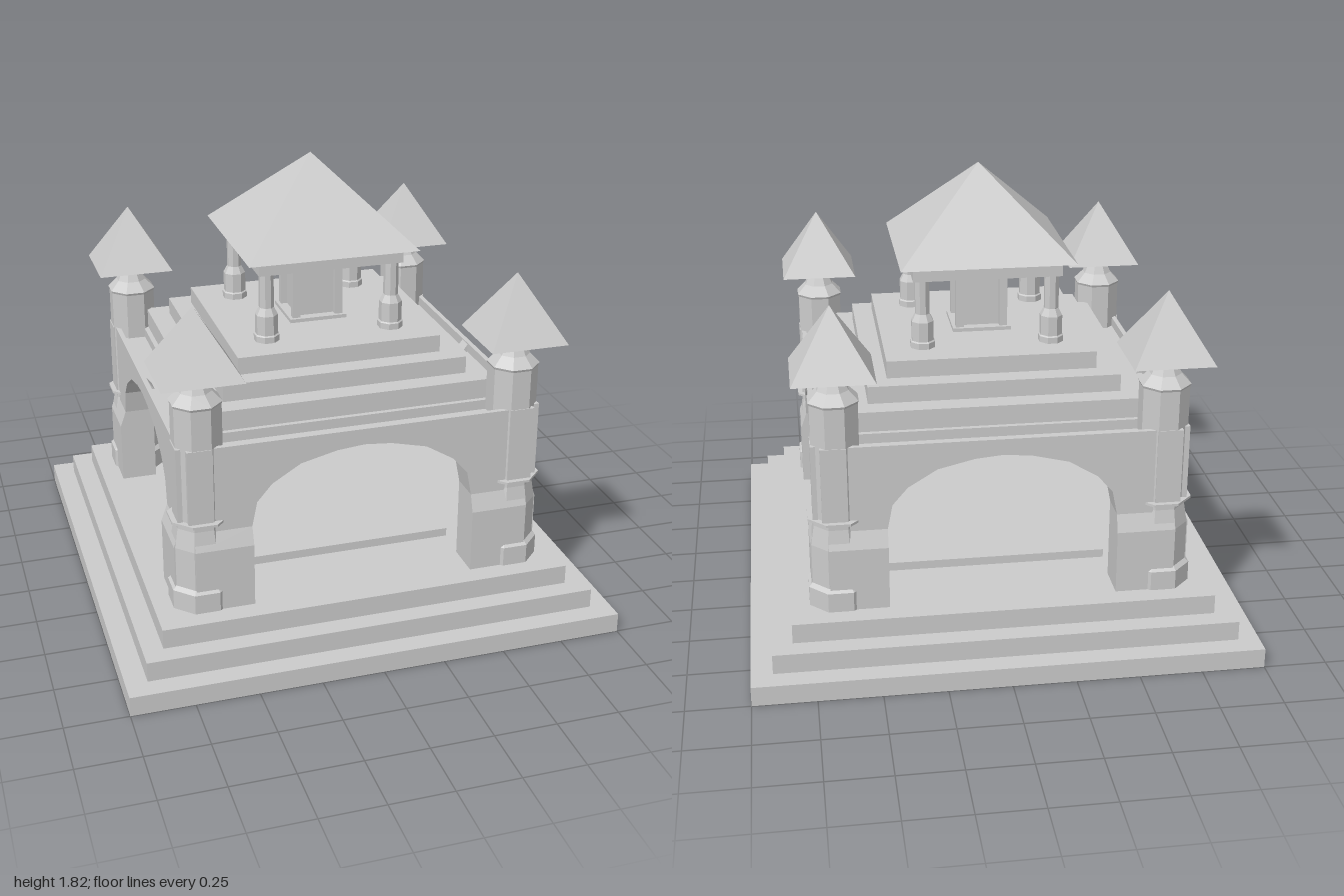
import * as THREE from 'three';

const mat = new THREE.MeshStandardMaterial({ color: 0xcccccc, flatShading: true });

function add(parent, name, geo, x = 0, y = 0, z = 0) {
  const m = new THREE.Mesh(geo, mat);
  m.name = name;
  m.position.set(x, y, z);
  parent.add(m);
  return m;
}

// Square slab given by half width, bottom and top
function slab(parent, name, half, y0, y1, x = 0, z = 0) {
  return add(parent, name, new THREE.BoxGeometry(half * 2, y1 - y0, half * 2), x, (y0 + y1) / 2, z);
}

// Square pyramid roof
function pyramid(parent, name, half, y0, y1, x = 0, z = 0) {
  const g = new THREE.ConeGeometry(half * Math.SQRT2, y1 - y0, 4);
  g.rotateY(Math.PI / 4);
  return add(parent, name, g, x, (y0 + y1) / 2, z);
}

// Octagonal turned column; the profile lists [half width, height]
function octagon(parent, name, profile, x, z) {
  const k = 1 / Math.cos(Math.PI / 8);
  const pts = profile.map(([r, y]) => new THREE.Vector2(r * k, y));
  const g = new THREE.LatheGeometry(pts, 8);
  g.rotateY(Math.PI / 8);
  return add(parent, name, g, x, 0, z);
}

// Wall outline with the arch opening, legs running to the floor
function archShape(top) {
  const half = [[0.45, 0.24], [0.45, 0.57], [0.43, 0.67], [0.37, 0.74], [0.255, 0.81], [0.11, 0.845]];
  const s = new THREE.Shape();
  s.moveTo(-0.68, 0.24);
  half.forEach(([x, y]) => s.lineTo(-x, y));
  s.lineTo(0, 0.855);
  half.slice().reverse().forEach(([x, y]) => s.lineTo(x, y));
  s.lineTo(0.68, 0.24);
  s.lineTo(0.68, top);
  s.lineTo(-0.68, top);
  s.closePath();
  return s;
}

const extrude = (shape, depth) => new THREE.ExtrudeGeometry(shape, { depth, bevelEnabled: false });

// One side of the gatehouse, built facing +z
function archSide() {
  const side = new THREE.Group();
  side.name = 'archSide';
  add(side, 'archWall', extrude(archShape(0.88), 0.105), 0, 0, 0.6);
  add(side, 'parapetFace', extrude(archShape(0.92), 0.02), 0, 0, 0.705);

  // Sloped bracket behind the parapet
  const wedge = new THREE.Shape([[0.705, 0.87], [0.67, 0.87], [0.705, 0.915]].map(p => new THREE.Vector2(...p)));
  const bracket = extrude(wedge, 0.06);
  bracket.rotateY(-Math.PI / 2);
  add(side, 'parapetBracket', bracket, 0.03);

  // Thickened lower legs with a sloped shoulder
  const leg = new THREE.Shape(
    [[0.7, 0.24], [0.75, 0.24], [0.75, 0.5], [0.725, 0.57], [0.7, 0.57]].map(p => new THREE.Vector2(...p)));
  for (const s of [-1, 1]) {
    const g = extrude(leg, 0.23);
    g.translate(0, 0, -0.115);
    g.rotateY(-Math.PI / 2);
    // the shape's first axis now points to +z
    add(side, 'legFacing', g, s * 0.565);
    add(side, 'legPilaster', new THREE.BoxGeometry(0.1, 0.31, 0.02), s * 0.65, 0.765, 0.725);
  }
  return side;
}

// Octagonal tower with a flared cap and a pointed roof
function cornerTower(x, z) {
  const t = new THREE.Group();
  t.name = 'cornerTower';
  octagon(t, 'towerShaft', [
    [0, 0.24], [0.12, 0.24], [0.12, 0.32], [0.105, 0.335], [0.105, 0.5], [0.092, 0.58],
    [0.092, 1.08], [0.096, 1.09], [0.06, 1.13], [0.042, 1.17], [0.032, 1.18], [0.032, 1.2]], x, z);
  octagon(t, 'towerCollar', [[0.09, 0.605], [0.115, 0.605], [0.115, 0.615], [0.09, 0.615]], x, z);
  pyramid(t, 'towerRoof', 0.158, 1.2, 1.46, x, z);
  return t;
}

export function createModel() {
  const model = new THREE.Group();
  model.name = 'pavilionGate';

  // Stepped base and inner floor
  slab(model, 'lowerStep', 1, 0, 0.08);
  slab(model, 'middleStep', 0.915, 0.08, 0.16);
  slab(model, 'upperStep', 0.835, 0.16, 0.24);
  slab(model, 'innerFloor', 0.46, 0.24, 0.275);

  // Four arched sides and corner towers
  for (let i = 0; i < 4; i++) {
    const side = archSide();
    side.rotation.y = i * Math.PI / 2;
    model.add(side);
  }
  const corners = [[1, 1], [-1, 1], [-1, -1], [1, -1]];
  corners.forEach(([sx, sz]) => model.add(cornerTower(sx * 0.64, sz * 0.64)));

  // Stepped deck
  slab(model, 'ceiling', 0.605, 0.865, 0.92);
  slab(model, 'lowerDeck', 0.585, 0.92, 1.0);
  slab(model, 'middleDeck', 0.5, 1.0, 1.07);
  slab(model, 'upperDeck', 0.418, 1.07, 1.14);

  // Open pavilion
  corners.forEach(([sx, sz]) => octagon(model, 'pavilionColumn', [
    [0, 1.14], [0.048, 1.14], [0.048, 1.165], [0.043, 1.17], [0.043, 1.25], [0.028, 1.28], [0.028, 1.42]],
  sx * 0.26, sz * 0.26));
  slab(model, 'pavilionBeam', 0.298, 1.42, 1.48);
  pyramid(model, 'pavilionRoof', 0.35, 1.48, 1.82);

  // Central shrine with corner posts
  slab(model, 'shrineBase', 0.12, 1.14, 1.155);
  slab(model, 'shrineBody', 0.08, 1.155, 1.375);
  corners.forEach(([sx, sz]) => slab(model, 'shrinePost', 0.016, 1.155, 1.375, sx * 0.09, sz * 0.09));
  slab(model, 'shrineCap', 0.12, 1.375, 1.41);

  return model;
}
